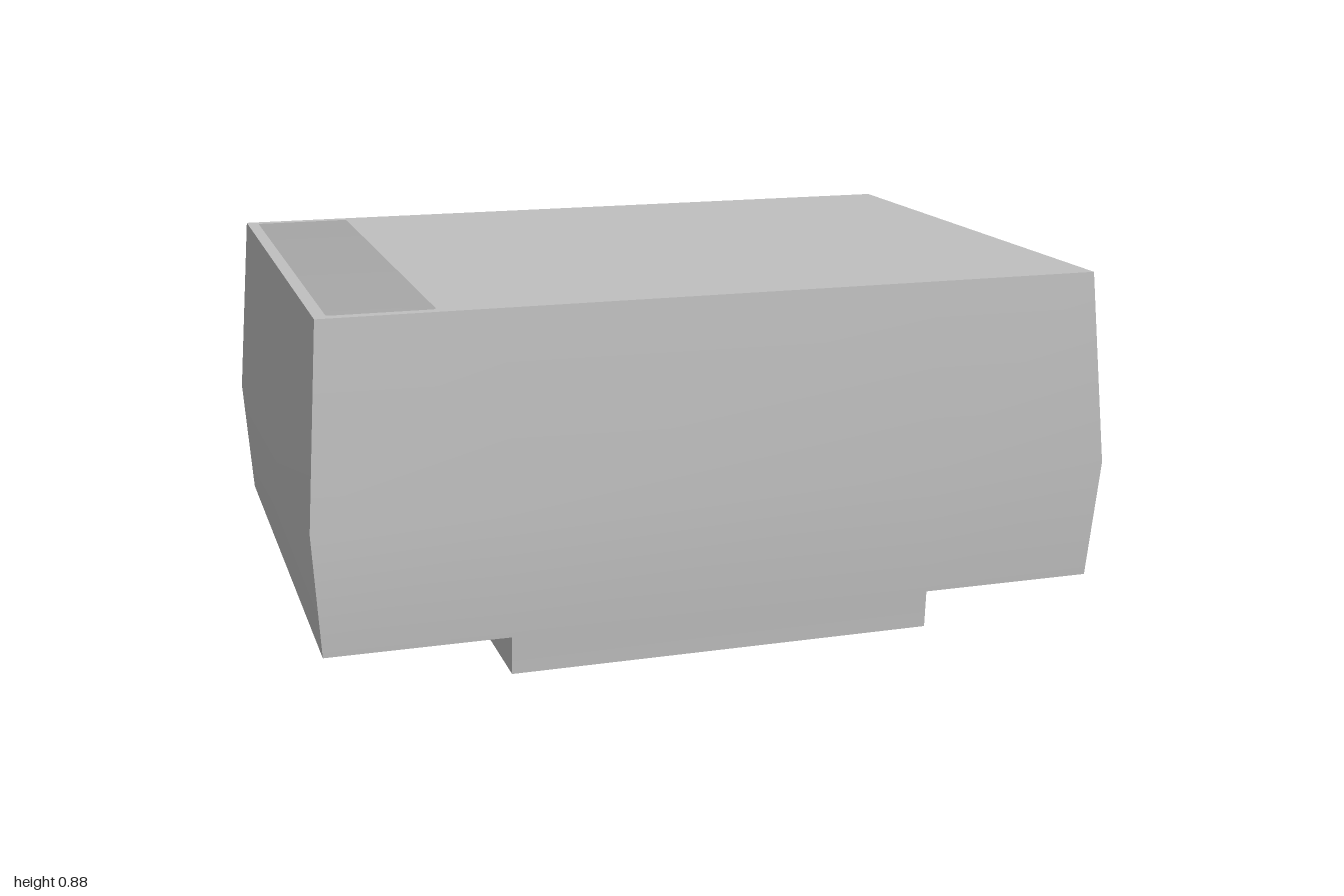
import * as THREE from 'three';

// Levels of the bulging shell: y, half width in x, half depth in z
const LEVELS = [
  { y: 0, w: 0.974, d: 0.703 },
  { y: 0.095, w: 0.98, d: 0.709 },
  { y: 0.4, w: 1, d: 0.73 },
  { y: 0.885, w: 0.965, d: 0.695 },
];
const FOOT = 0.535; // half width of the lowered centre

// Smooth wall facing +z: rows of points, with outer cells of the lowest row left out
function wallGeometry(levels, columns, out, isOpen) {
  const pos = [], index = [];
  const n = columns(levels[0]).length;
  levels.forEach((l) => columns(l).forEach((c) => pos.push(c, l.y, out(l))));
  for (let r = 0; r < levels.length - 1; r++) {
    for (let c = 0; c < n - 1; c++) {
      if (isOpen(r, c)) continue;
      const a = r * n + c, b = a + 1, d = a + n, e = d + 1;
      index.push(a, b, e, a, e, d);
    }
  }
  const g = new THREE.BufferGeometry();
  g.setAttribute('position', new THREE.Float32BufferAttribute(pos, 3));
  g.setIndex(index);
  g.computeVertexNormals();
  return g;
}

function polygon(points) {
  return new THREE.Shape(points.map(([x, y]) => new THREE.Vector2(x, y)));
}

// Flat sheet in the xz plane, facing up or down
function sheetGeometry(shape, y, facing) {
  return new THREE.ShapeGeometry(shape, 3).rotateX(-facing * Math.PI / 2).translate(0, y, 0);
}

function rectangle(x0, x1, z) {
  return [[x0, -z], [x1, -z], [x1, z], [x0, z]];
}

export function createModel() {
  const model = new THREE.Group();
  model.name = 'hollowCasing';
  const grey = new THREE.MeshStandardMaterial({ color: 0xbfbfbf, side: THREE.DoubleSide });
  grey.name = 'casing grey';
  const add = (name, geometry) => {
    const mesh = new THREE.Mesh(geometry, grey);
    mesh.name = name;
    model.add(mesh);
    return mesh;
  };

  // Front and back walls with the lowered centre
  const broad = wallGeometry(LEVELS, (l) => [-l.w, -FOOT, FOOT, l.w], (l) => l.d,
    (r, c) => r === 0 && c !== 1);
  add('frontWall', broad);
  add('backWall', broad).rotation.y = Math.PI;

  // Side walls
  const side = wallGeometry(LEVELS.slice(1), (l) => [-l.d, l.d], (l) => l.w, () => false);
  add('leftWall', side).rotation.y = Math.PI / 2;
  add('rightWall', side).rotation.y = -Math.PI / 2;

  // Lid with a long slot whose corners are slightly rounded
  const [base, step, , top] = LEVELS;
  const lid = polygon(rectangle(-top.w, top.w, top.d));
  const x0 = -0.935, x1 = -0.685, z = 0.665, r = 0.012;
  const slot = new THREE.Path();
  slot.moveTo(x0 + r, -z);
  slot.lineTo(x1 - r, -z);
  slot.quadraticCurveTo(x1, -z, x1, -z + r);
  slot.lineTo(x1, z - r);
  slot.quadraticCurveTo(x1, z, x1 - r, z);
  slot.lineTo(x0 + r, z);
  slot.quadraticCurveTo(x0, z, x0, z - r);
  slot.lineTo(x0, -z + r);
  slot.quadraticCurveTo(x0, -z, x0 + r, -z);
  lid.holes.push(slot);
  add('slottedLid', sheetGeometry(lid, top.y, 1));

  // Lowered floor
  add('centreFloor', sheetGeometry(polygon(rectangle(-FOOT, FOOT, base.d)), base.y, -1));

  // Raised floors, each cut open to the side wall, and the risers beside them
  const cutX = 0.57, cutZ = 0.415;
  for (const s of [1, -1]) {
    const name = s > 0 ? 'left' : 'right';
    const wing = polygon([
      [FOOT, -step.d], [step.w, -step.d], [step.w, -cutZ], [cutX, -cutZ],
      [cutX, cutZ], [step.w, cutZ], [step.w, step.d], [FOOT, step.d],
    ].map(([x, y]) => [s * x, y]));
    add(name + 'RaisedFloor', sheetGeometry(wing, step.y, -1));
    const riser = wallGeometry([base, step], (l) => [-l.d, l.d], () => FOOT, () => false);
    add(name + 'Riser', riser).rotation.y = s * Math.PI / 2;
  }
  return model;
}
